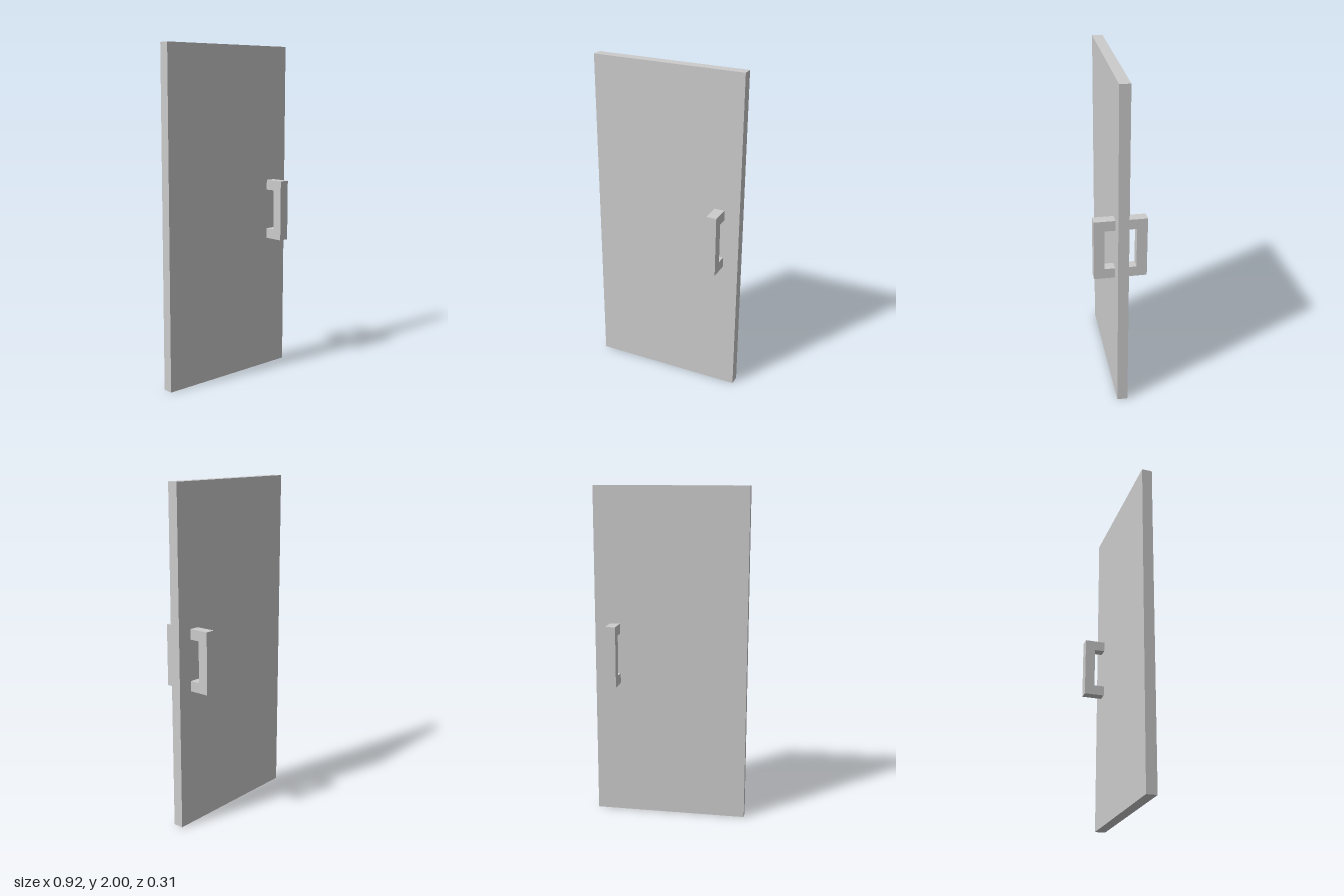
import * as THREE from 'three';

export function createModel() {
  const group = new THREE.Group();
  const material = new THREE.MeshStandardMaterial({ color: 0xcccccc, flatShading: true });

  // Door leaf
  const height = 2, width = 0.92, half = 0.031;
  const panel = new THREE.Mesh(new THREE.BoxGeometry(width, height, half * 2), material);
  panel.name = 'doorPanel';
  panel.position.y = height / 2;
  group.add(panel);

  // C-shaped pull handle: profile runs outward from the door face, extruded sideways
  const reach = 0.153, bar = 0.061, bottom = 0.82, top = 1.186;
  const profile = new THREE.Shape([
    [half, bottom], [reach, bottom], [reach, top], [half, top],
    [half, top - bar], [reach - bar, top - bar],
    [reach - bar, bottom + bar], [half, bottom + bar],
  ].map(([x, y]) => new THREE.Vector2(x, y)));
  const handleGeometry = new THREE.ExtrudeGeometry(profile, { depth: bar, bevelEnabled: false });
  handleGeometry.translate(0, 0, -bar / 2);

  // One handle on each face
  for (const [name, side] of [['frontHandle', 1], ['backHandle', -1]]) {
    const handle = new THREE.Mesh(handleGeometry, material);
    handle.name = name;
    handle.rotation.y = -side * Math.PI / 2;
    handle.position.x = 0.337;
    group.add(handle);
  }
  return group;
}
